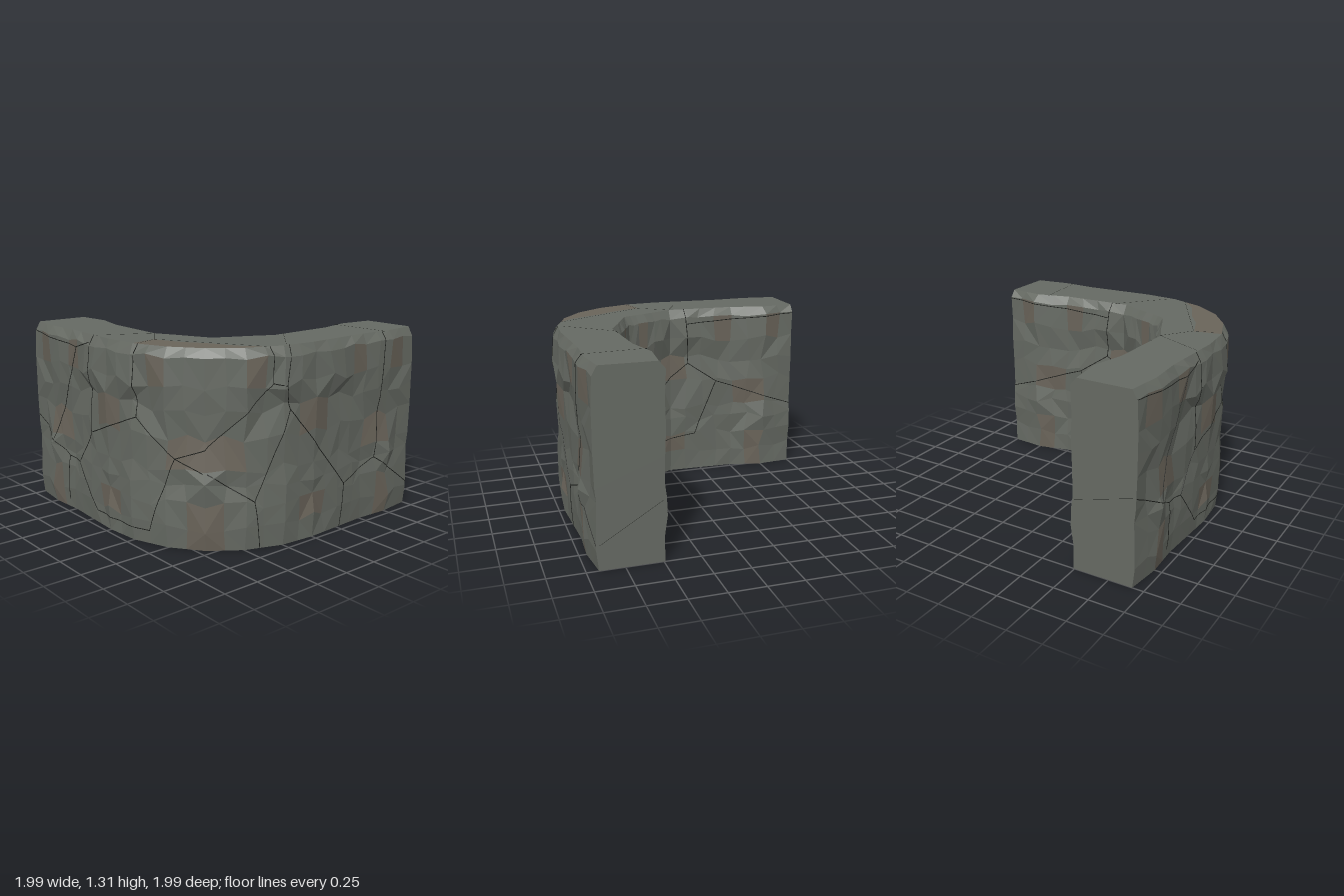
import * as THREE from 'three';

const ROWS = [0, 0.15, 0.3, 0.43, 0.53, 0.74, 0.9, 1.07, 1.25, 1.31]; // facet heights
const R = ROWS.length - 1, H = ROWS[R], HALF = 14, COLS = 28;
const lerp = (a, b, t) => a + (b - a) * t;
const clamp = THREE.MathUtils.clamp;
const hash = (a, b, c) => {
  const s = Math.sin(a * 127.1 + b * 311.7 + c * 74.7) * 43758.5453;
  return (s - Math.floor(s)) * 2 - 1;
};

// Plan of one leg up to the corner diagonal: column, outer x, z, inner x, z
const PLAN = [
  [0, -1, 0.925, -1, 0.485], [2, -0.75, 0.955, -0.75, 0.46], [4, -0.5, 0.942, -0.5, 0.52],
  [8, 0, 0.968, 0, 0.54], [10, 0.25, 0.947, 0.15, 0.465], [12, 0.5, 0.855, 0.28, 0.41], [14, 0.705, 0.705, 0.37, 0.37],
];
function plan(c) {
  const k = c > HALF ? COLS - c : c;
  let i = 0;
  while (i < PLAN.length - 2 && k > PLAN[i + 1][0]) i++;
  const t = (k - PLAN[i][0]) / (PLAN[i + 1][0] - PLAN[i][0]);
  const [ox, oz, ix, iz] = [1, 2, 3, 4].map((j) => lerp(PLAN[i][j], PLAN[i + 1][j], t));
  return c > HALF ? [oz, ox, iz, ix] : [ox, oz, ix, iz]; // second leg mirrors the first
}
const tile = (c) => Math.abs((c > HALF ? COLS - c : c) - 8); // facet pattern mirrors in each leg

// Chiselled surface vertex; side 0 is the outer face, 1 the inner
function vertex(side, c, r) {
  const [ox, oz, ix, iz] = plan(c);
  const turn = side ? -1 : 1;
  const out = new THREE.Vector2(ox - ix, oz - iz).normalize().multiplyScalar(turn);
  const u = tile(c), edge = r === 0 || r === R, end = c === 0 || c === COLS;
  let d = r === R ? -0.034 : r === 0 ? -0.006 : hash(u, r, side) * 0.014;
  if (r === 3 && u === 6) d += 0.028;          // low bulge
  if (r === 6 && u > 0 && u < 4) d -= 0.02;    // undercut notch
  if (r === 7 && u > 0 && u < 3) d += 0.014;   // overhang above it
  let y = ROWS[r];
  if (r === 6 && u < 4) y += [0.06, 0.03, 0.05, -0.01][u];
  else if (!edge) y += hash(u, r, side + 9) * (r === R - 1 ? 0.012 : 0.03);
  const outward = c < 8 || (c > HALF && c < 20) ? -1 : 1;
  const slide = edge || end || c === HALF || u === 0 ? 0
    : hash(u, r, side + 5) * (c > 8 && c < 20 ? 0.015 : 0.03) * outward;
  return new THREE.Vector3(
    (side ? ix : ox) + out.x * d + out.y * slide * turn, y,
    (side ? iz : oz) + out.y * d - out.x * slide * turn);
}
const grid = [0, 1].map((s) => Array.from({ length: COLS + 1 }, (_, c) =>
  Array.from({ length: R + 1 }, (_, r) => vertex(s, c, r))));
const rising = (c, r) => (tile(c) + tile(c + 1) + r * 2) % 4 < 2 === c % 2 < 1; // which way a cell is split

// Point on the faceted surface at a fractional column and nominal height
function onWall(side, c, y) {
  const ci = Math.min(COLS - 1, Math.floor(c));
  let ri = 0;
  while (ri < R - 1 && y > ROWS[ri + 1]) ri++;
  const u = c - ci, v = (y - ROWS[ri]) / (ROWS[ri + 1] - ROWS[ri]), g = grid[side];
  const w = rising(ci, ri)
    ? (u > v ? [1 - u, u - v, v, 0] : [1 - v, 0, u, v - u])
    : (u + v < 1 ? [1 - u - v, u, 0, v] : [0, 1 - v, u + v - 1, 1 - u]);
  const p = new THREE.Vector3();
  [g[ci][ri], g[ci + 1][ri], g[ci + 1][ri + 1], g[ci][ri + 1]].forEach((q, i) => p.addScaledVector(q, w[i]));
  return p;
}

// Surface point for a crack: distance along a leg and true height, solved by stepping
function crackPoint(side, leg, x, y) {
  let k = 0;
  while (k < HALF - 1 && plan(k + 1)[0] < x) k++;
  const t = clamp((x - plan(k)[0]) / (plan(k + 1)[0] - plan(k)[0]), 0, 1);
  const target = lerp(plan(k)[side * 2], plan(k + 1)[side * 2], t);
  let c = k + t, h = y, p;
  for (let n = 0; n < 8; n++) {
    p = onWall(side, leg ? COLS - c : c, h);
    c = clamp(c + (target - (leg ? p.z : p.x)) * 6, 0, HALF);
    h = clamp(h + (y - p.y) * 0.8, 0, H);
  }
  return p;
}

// Brown patches: tile column range, row range
const PATCHES = [[0, 1, 1, 2], [0, 1, 5, 6], [4, 6, 4, 5], [3, 4, 7, 8], [6, 7, 7, 8], [5, 6, 0, 2]];
const isBrown = (c, r) => {
  const u = Math.min(tile(c), tile(c + 1));
  return PATCHES.some(([a, b, d, e]) => u >= a && u < b && r >= d && r < e);
};

// Cracks between stones as [distance along the leg, height]
const FRONT = [
  [[-1, 0.62], [-0.55, 0.395], [-0.4, 0.385], [-0.17, 0.09], [0.37, 0.09], [0.54, 0.6], [0.28, 0.84], [0.28, H]],
  [[-0.72, 0.49], [-0.38, 1.21]], [[-1, 1.25], [-0.38, 1.21], [-0.22, 1.26]],
  [[-0.2, H], [-0.22, 0.64], [0.28, 0.84]], [[-0.4, 0.385], [-0.22, 0.64]],
  [[-0.55, 0.395], [-0.57, 0.06]], [[0.54, 0.6], [0.705, 0.67]], [[0.54, 0.6], [0.705, 0.52]],
];
const SIDE = [
  [[0.705, 0.67], [0.33, 1.08], [0.25, 1.06], [0.2, 0.9], [-0.3, 0.31], [-0.28, 0]],
  [[0.25, 1.06], [0.2, H]], [[0.33, 1.08], [0.33, H]],
  [[0.2, 0.9], [0.44, 0.32], [0.4, 0]], [[0.44, 0.32], [0.705, 0.52]],
  [[-0.3, 0.31], [-0.62, 0.43], [-0.68, H]], [[-0.62, 0.43], [-1, 0.17]],
];
const INNER = [
  [[-0.12, H], [-0.15, 0.88], [0.4, 0.52], [0.4, 0.23], [-0.2, 0.3], [-0.37, 0.73], [-0.15, 0.88]],
  [[-0.13, 1.2], [-1, 1.25]], [[-0.37, 0.73], [-1, 0.5]],
];
const TOP = [
  [[-0.17, 0.92], [0, 0.57], [0.21, 0.72], [0.26, 0.88]], [[0.21, 0.72], [0.87, 0.35]],
  [[0.56, -0.09], [0.88, 0.19]], [[0.5, -0.66], [0.93, -0.69]],
];

export function createModel() {
  const group = new THREE.Group();
  const stone = new THREE.MeshStandardMaterial({ color: 0x666a63, flatShading: true });
  const brown = new THREE.MeshStandardMaterial({ color: 0x6a645a, flatShading: true });
  const dark = new THREE.MeshStandardMaterial({ color: 0x1d1f1c });

  const addFaces = (name, points, material) => {
    const geo = new THREE.BufferGeometry().setFromPoints(points);
    geo.computeVertexNormals();
    const mesh = new THREE.Mesh(geo, material);
    mesh.name = name;
    group.add(mesh);
  };
  const quad = (list, a, b, c, d, rise = true) =>
    list.push(...(rise ? [a, b, c, a, c, d] : [a, b, d, b, c, d]));

  // Outer and inner faces, sorted into grey and brown facets
  ['outerFace', 'innerFace'].forEach((name, s) => {
    const grey = [], warm = [], g = grid[s];
    for (let c = 0; c < COLS; c++) for (let r = 0; r < R; r++) {
      const q = [g[c][r], g[c + 1][r], g[c + 1][r + 1], g[c][r + 1]];
      const rise = rising(c, r), list = isBrown(c, r) ? warm : grey;
      if (s) quad(list, q[1], q[0], q[3], q[2], !rise);
      else quad(list, ...q, rise);
    }
    addFaces(name, grey, stone);
    addFaces(name + 'BrownPatches', warm, brown);
  });

  // Flat top with a brown corner stone tapering along the bend, and the underside
  const top = [], cornerStone = [], base = [];
  const [O, I] = grid;
  const mid = (c) => O[c][R].clone().lerp(I[c][R], c > HALF && c < 18 ? 0.15 * (17 - c) + 0.01 : 0.45);
  for (let c = 0; c < COLS; c++) {
    quad(c >= 10 && c < 17 ? cornerStone : top, O[c][R], O[c + 1][R], mid(c + 1), mid(c));
    quad(top, mid(c), mid(c + 1), I[c + 1][R], I[c][R]);
    quad(base, I[c][0], I[c + 1][0], O[c + 1][0], O[c][0]);
  }
  addFaces('top', top, stone);
  addFaces('topCornerStone', cornerStone, brown);
  addFaces('underside', base, stone);

  // Flat cut ends
  const ends = [];
  for (let r = 0; r < R; r++) {
    quad(ends, I[0][r], O[0][r], O[0][r + 1], I[0][r + 1]);
    quad(ends, O[COLS][r], I[COLS][r], I[COLS][r + 1], O[COLS][r + 1]);
  }
  addFaces('cutEnds', ends, stone);

  // Thin dark cracks following the facets
  const cracks = new THREE.Group();
  cracks.name = 'cracks';
  group.add(cracks);
  const addCrack = (line, place) => {
    for (let i = 0; i < line.length - 1; i++) {
      const [a, b] = [line[i], line[i + 1]];
      const n = Math.max(2, Math.ceil(Math.hypot(b[0] - a[0], b[1] - a[1]) / 0.03));
      const pts = Array.from({ length: n + 1 }, (_, k) => place(lerp(a[0], b[0], k / n), lerp(a[1], b[1], k / n)));
      const mesh = new THREE.Mesh(new THREE.TubeGeometry(new THREE.CatmullRomCurve3(pts), n * 2, 0.003, 4), dark);
      mesh.name = 'crack';
      cracks.add(mesh);
    }
  };
  const crackWall = (lines, side, leg) =>
    lines.forEach((l) => addCrack(l, (x, y) => crackPoint(side, leg, x, y)));
  crackWall(FRONT, 0, 0);
  crackWall(SIDE, 0, 1);
  crackWall(INNER, 1, 0);
  crackWall(INNER, 1, 1);
  TOP.forEach((l) => addCrack(l, (x, z) => new THREE.Vector3(x, H - 0.002, z)));
  addCrack([[0.5, 0.5], [0.91, 0.62]], (z, y) => new THREE.Vector3(-0.998, y, z));
  addCrack([[0.5, 0.42], [0.91, 0.17]], (x, y) => new THREE.Vector3(x, y, -0.998));
  return group;
}
